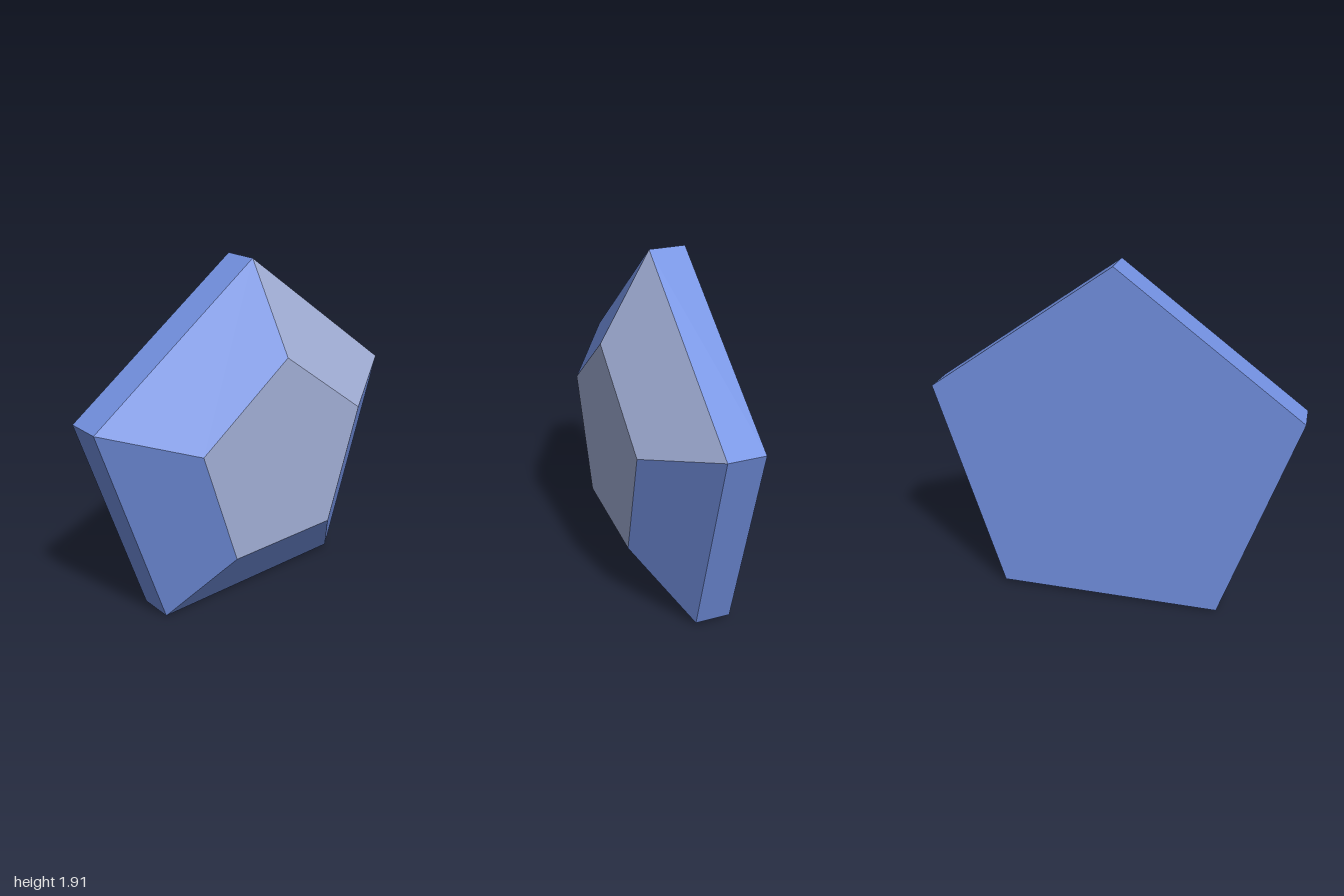
import * as THREE from 'three';

const blue = new THREE.MeshStandardMaterial({ color: 0x7290e0 });
blue.name = 'blue';
const paleBlue = new THREE.MeshStandardMaterial({ color: 0xa3b0d8 });
paleBlue.name = 'paleBlue';

const SIDES = 5;
const ROLL = 0.012;

// Regular pentagon around the x axis, counterclockwise seen from +x
function ring(x, radius) {
  return Array.from({ length: SIDES }, (_, i) => {
    const a = ROLL + (i * 2 * Math.PI) / SIDES;
    return new THREE.Vector3(x, radius * Math.cos(a), radius * Math.sin(a));
  });
}

// Flat convex face from its corners
function face(name, corners, material) {
  const points = [];
  for (let i = 1; i < corners.length - 1; i++) points.push(corners[0], corners[i], corners[i + 1]);
  const geometry = new THREE.BufferGeometry().setFromPoints(points);
  geometry.computeVertexNormals();
  const mesh = new THREE.Mesh(geometry, material);
  mesh.name = name;
  return mesh;
}

export function createModel() {
  const model = new THREE.Group();
  model.name = 'bevelledPentagon';

  const body = new THREE.Group();
  body.name = 'pentagonBody';
  const back = ring(-0.195, 1.05);
  const girdle = ring(0, 1.05);
  const table = ring(0.281, 0.582);

  // Flat top facet and flat back
  body.add(face('topFacet', table, paleBlue));
  body.add(face('backFace', [...back].reverse(), blue));

  // Straight rim and sloping bevels, one bevel being pale
  for (let i = 0; i < SIDES; i++) {
    const j = (i + 1) % SIDES;
    body.add(face(`rim${i + 1}`, [back[i], back[j], girdle[j], girdle[i]], blue));
    body.add(face(`bevel${i + 1}`, [girdle[i], girdle[j], table[j], table[i]], i === 4 ? paleBlue : blue));
  }

  // Slight lean of the whole body
  body.rotation.set(0, 0.021, -0.023);
  body.position.set(-0.037, 0.861, -0.003);
  model.add(body);
  return model;
}
